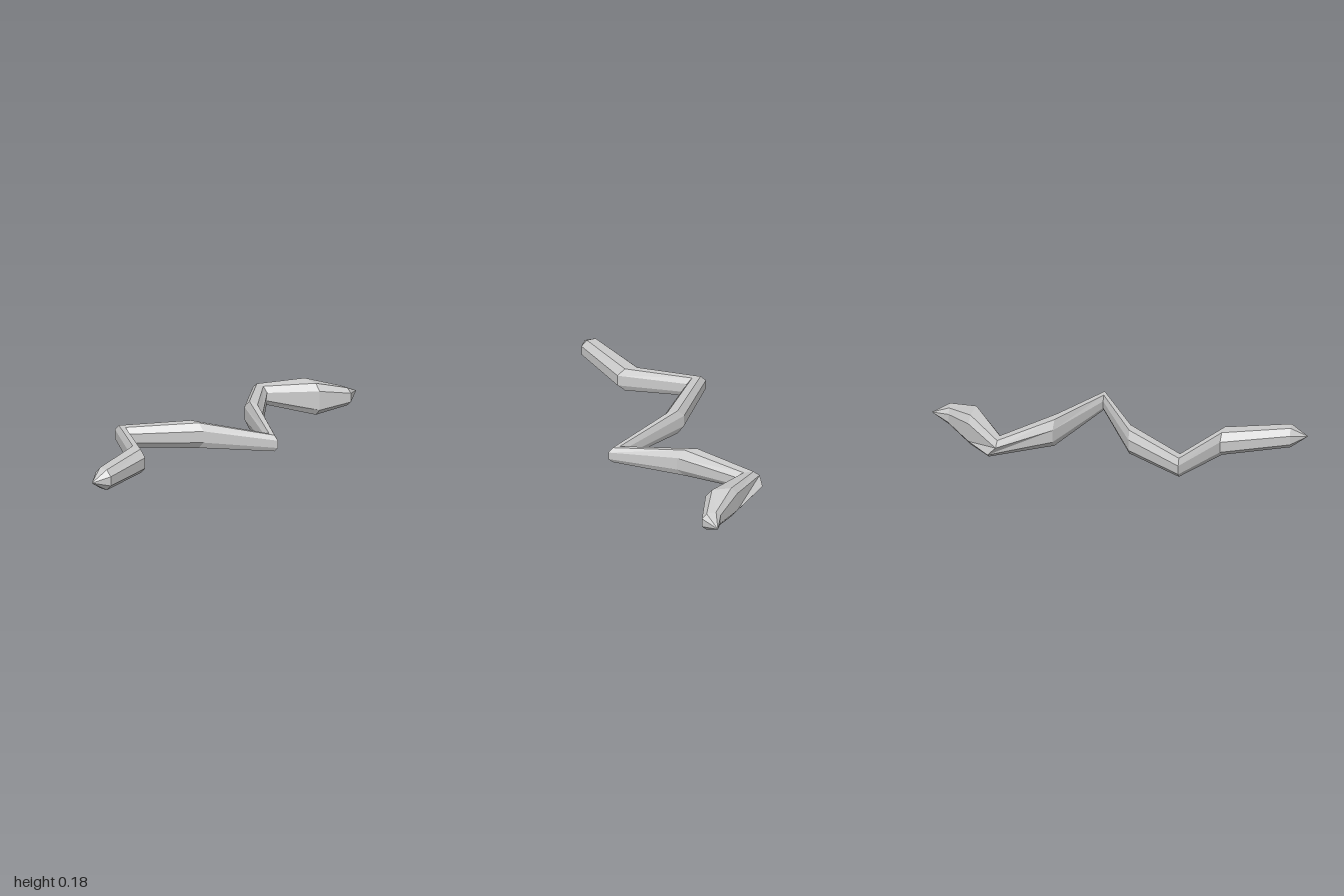
import * as THREE from 'three';

// Octagonal cross-sections along the zigzag body.
// skew: x shift of the rear edge; k: half length of each flat; lean: x shift of the low rear corners
const rings = [
  { x: -1, y: 0.088, z: 0.08, h: 0, w: 0 },
  { x: -0.91, y: 0.088, z: 0.077, h: 0.057, w: 0.055 },
  { x: -0.562, y: 0.083, z: -0.016, h: 0.067, w: 0.072, skew: 0.009 },
  { x: -0.367, y: 0.087, z: -0.311, h: 0.056, w: 0.054 },
  { x: -0.072, y: 0.085, z: -0.065, h: 0.07, w: 0.066 },
  { x: 0.115, y: 0.087, z: 0.32, h: 0.045, w: 0.045 },
  { x: 0.327, y: 0.088, z: -0.02, h: 0.079, w: 0.075, skew: 0.009 },
  { x: 0.604, y: 0.09, z: -0.24, h: 0.05, w: 0.06, skew: 0.008, lean: 0.043 },
  { x: 0.765, y: 0.088, z: -0.028, h: 0.088, w: 0.084, skew: 0.016, k: 0.6 },
  { x: 0.905, y: 0.085, z: 0.082, h: 0.049, w: 0.053, k: 0.5 },
  { x: 1, y: 0.088, z: 0.081, h: 0, w: 0 },
];

// Corners of one section, starting at the lower front and going up
function section({ x, y, z, h, w, skew = 0, k = 0.45, lean = 0 }) {
  const corners = [[1, -k], [1, k], [k, 1], [-k, 1], [-1, k], [-1, -k], [-k, -1], [k, -1]];
  return corners.map(([c, s]) => {
    const lowRear = c < 0 && s < 0 ? lean : 0;
    return [x - skew * c + lowRear, y + h * s, z + w * c];
  });
}

function createBodyGeometry() {
  const loops = rings.map(section);
  const positions = [];
  const last = loops.length - 2;
  for (let i = 0; i <= last; i++) {
    for (let j = 0; j < 8; j++) {
      const n = (j + 1) % 8;
      const a = loops[i][j], b = loops[i + 1][j], c = loops[i + 1][n], d = loops[i][n];
      // The pointed ends need only one triangle per side
      if (i < last) positions.push(...a, ...b, ...c);
      if (i === last) positions.push(...a, ...b, ...d);
      else if (i > 0) positions.push(...a, ...c, ...d);
    }
  }
  const geometry = new THREE.BufferGeometry();
  geometry.setAttribute('position', new THREE.Float32BufferAttribute(positions, 3));
  geometry.computeVertexNormals();
  return geometry;
}

export function createModel() {
  const group = new THREE.Group();
  group.name = 'zigzagRod';
  const material = new THREE.MeshStandardMaterial({ color: 0xcccccc, flatShading: true });
  const body = new THREE.Mesh(createBodyGeometry(), material);
  body.name = 'zigzagBody';
  group.add(body);
  return group;
}
